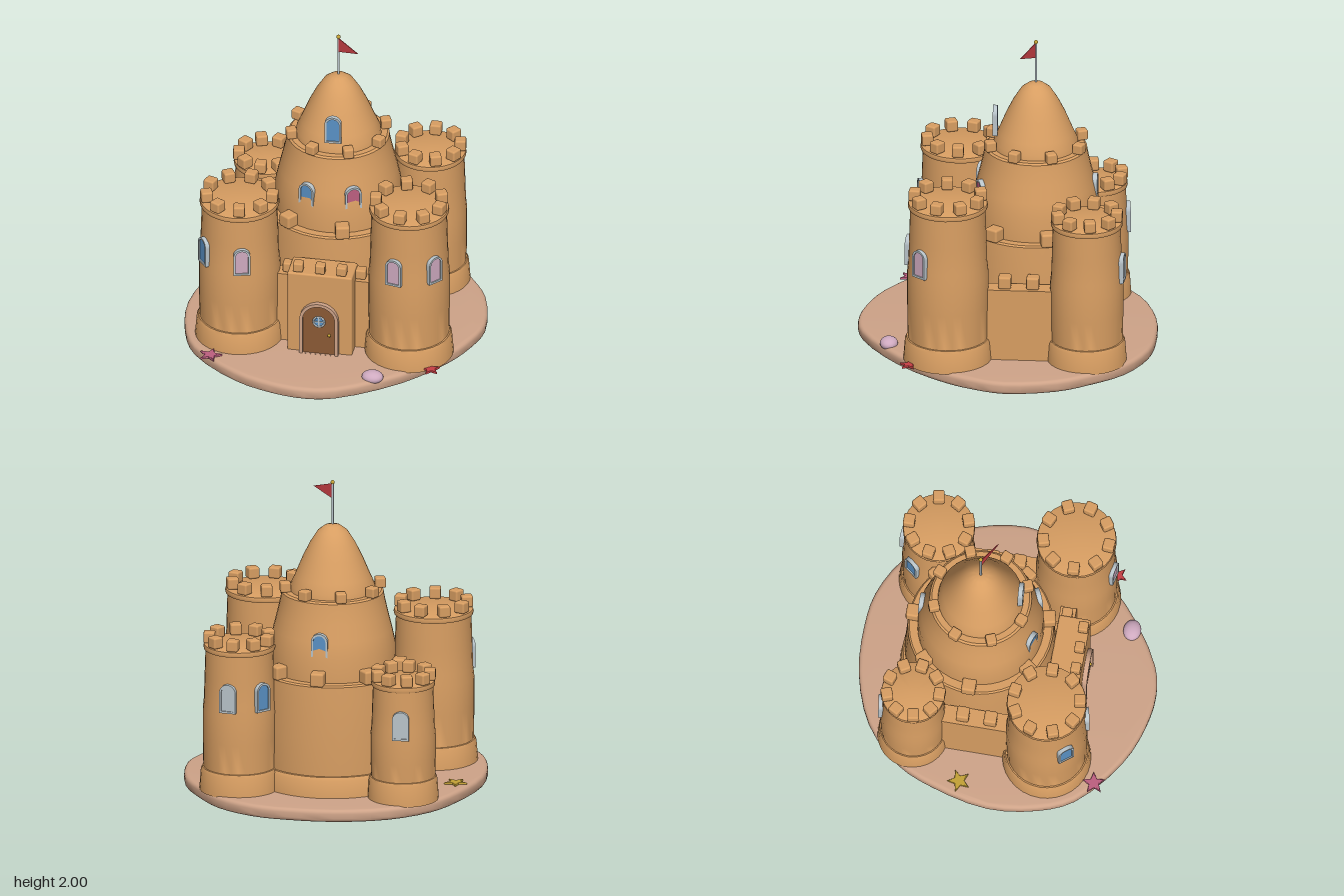
import * as THREE from 'three';
import { toCreasedNormals } from 'three/addons/utils/BufferGeometryUtils.js';
import { RoundedBoxGeometry } from 'three/addons/geometries/RoundedBoxGeometry.js';

const RAD = Math.PI / 180;
const mat = (name, color) => Object.assign(new THREE.MeshStandardMaterial({ color }), { name });

export function createModel() {
  const sand = mat('sand', 0xd89e62);
  const ground = mat('pinkSand', 0xcea388);
  const wood = mat('wood', 0x8b5a35);
  const frameGrey = mat('paleGrey', 0xb9c4ca);
  const blue = mat('blue', 0x5a92c6);
  const mauve = mat('mauve', 0xcfaac0);
  const rose = mat('rose', 0xbd5f80);
  const gold = mat('gold', 0xc4a236);
  const red = mat('red', 0xc73f44);
  red.side = THREE.DoubleSide;

  const model = new THREE.Group();
  model.name = 'sandcastle';

  const add = (parent, name, geometry, material, x = 0, y = 0, z = 0) => {
    const mesh = new THREE.Mesh(geometry, material);
    mesh.name = name;
    mesh.position.set(x, y, z);
    parent.add(mesh);
    return mesh;
  };
  const group = (name, x, y, z, parent = model) => {
    const g = new THREE.Group();
    g.name = name;
    g.position.set(x, y, z);
    parent.add(g);
    return g;
  };
  const lathe = (profile, segments = 32) => toCreasedNormals(
    new THREE.LatheGeometry(profile.map(([r, y]) => new THREE.Vector2(r, y)), segments), 0.6);

  // Battlement blocks, alone or in a ring of angles measured from the front
  const blockGeo = new RoundedBoxGeometry(1, 1, 1, 2, 0.16);
  const block = (parent, x, y, z, size, turn = 0) => {
    const m = add(parent, 'battlement', blockGeo, sand, x, y, z);
    m.scale.setScalar(size);
    m.rotation.y = turn;
  };
  const ring = (parent, angles, r, y, size) => angles.forEach((a) =>
    block(parent, r * Math.sin(a * RAD), y, r * Math.cos(a * RAD), size, a * RAD));
  const evenly = (n, start) => Array.from({ length: n }, (_, i) => start + (i * 360) / n);

  // Round-headed plates for windows and the door, standing on y = 0
  const archPath = (Kind, w, h, y0 = 0) => {
    const p = new Kind();
    p.moveTo(-w / 2, y0);
    p.lineTo(w / 2, y0);
    p.lineTo(w / 2, h - w / 2);
    p.absarc(0, h - w / 2, w / 2, 0, Math.PI, false);
    p.lineTo(-w / 2, y0);
    return p;
  };
  const extrude = (shape, depth) =>
    new THREE.ExtrudeGeometry(shape, { depth, bevelEnabled: false, curveSegments: 16 });
  const frameShape = archPath(THREE.Shape, 0.105, 0.185);
  frameShape.holes.push(archPath(THREE.Path, 0.079, 0.172, 0.013));
  const frameGeo = extrude(frameShape, 0.03);
  const paneGeo = extrude(archPath(THREE.Shape, 0.082, 0.173), 0.022);
  const windowAt = (parent, angle, r, y, pane) => {
    const a = angle * RAD;
    const g = group('window', r * Math.sin(a), y, r * Math.cos(a), parent);
    g.rotation.y = a;
    add(g, 'windowFrame', frameGeo, frameGrey, 0, 0, -0.012);
    add(g, 'windowPane', paneGeo, pane, 0, 0.006, -0.012);
  };

  // Irregular sand base with a rounded rim
  const outline = [[0.93, -0.05], [0.87, -0.38], [0.75, -0.58], [0.58, -0.78], [0.33, -0.91], [0.1, -0.94],
    [-0.2, -0.92], [-0.52, -0.8], [-0.75, -0.58], [-0.86, -0.34], [-0.94, 0.02], [-0.9, 0.33], [-0.8, 0.55],
    [-0.5, 0.8], [-0.25, 0.9], [-0.03, 0.93], [0.16, 0.89], [0.53, 0.64], [0.78, 0.34], [0.88, 0.14]];
  const curve = new THREE.CatmullRomCurve3(outline.map(([x, z]) => new THREE.Vector3(x, -z, 0)), true);
  const baseShape = new THREE.Shape(curve.getPoints(60).slice(0, -1).map((p) => new THREE.Vector2(p.x, p.y)));
  const baseGeo = new THREE.ExtrudeGeometry(baseShape, {
    depth: 0.03, bevelThickness: 0.025, bevelSize: 0.025, bevelOffset: -0.025, bevelSegments: 4 });
  add(model, 'sandBase', toCreasedNormals(baseGeo.rotateX(-Math.PI / 2), 0.6), ground, 0, 0.025, 0);

  // Corner towers: footing, slightly bulging shaft, rim and battlements
  const tower = (name, x, z, s, h, start, windowY, windows) => {
    const g = group(name, x, 0, z);
    const bulge = 0.58 * h;
    add(g, 'towerBody', lathe([[0.278 * s, 0.07], [0.267 * s, 0.2], [0.258 * s, 0.218], [0.25 * s, 0.22],
      [0.254 * s, 0.4 * h], [0.254 * s, bulge], [0.246 * s, bulge + 0.07], [0.241 * s, 0.8 * h],
      [0.235 * s, h - 0.035], [0, h - 0.035]]), sand);
    add(g, 'towerRim', lathe([[0.225 * s, h - 0.04], [0.246 * s, h - 0.035], [0.25 * s, h - 0.022],
      [0.246 * s, h - 0.004], [0.235 * s, h], [0, h]]), sand);
    ring(g, evenly(9, start), 0.208 * s, h + 0.036, 0.072);
    windows.forEach(([angle, pane]) => windowAt(g, angle, 0.247 * s, windowY, pane));
  };
  tower('frontRightTower', -0.555, 0.33, 1, 1.06, 10, 0.65, [[-52, blue], [14, mauve]]);
  tower('frontLeftTower', 0.52, 0.33, 1, 1.125, -5, 0.685, [[-12, mauve], [50, mauve]]);
  tower('backLeftTower', 0.49, -0.535, 0.9, 1.015, 20, 0.62, [[174, frameGrey], [-128, blue]]);
  tower('backRightTower', -0.55, -0.515, 0.8, 0.84, 0, 0.5, [[-172, frameGrey]]);

  // Central keep: skirt, two drums and a domed cone
  const keep = group('keep', -0.025, 0, -0.18);
  add(keep, 'lowerKeep', lathe([[0.505, 0.07], [0.495, 0.19], [0.482, 0.21], [0.47, 0.212], [0.472, 0.45],
    [0.46, 0.7], [0.455, 0.785], [0.445, 0.795], [0, 0.795]], 40), sand);
  add(keep, 'upperKeep', lathe([[0.395, 0.79], [0.392, 0.95], [0.37, 1.05], [0.345, 1.15], [0.325, 1.24],
    [0.318, 1.285], [0.305, 1.295], [0, 1.295]], 40), sand);
  add(keep, 'domeRoof', lathe([[0.268, 1.29], [0.262, 1.33], [0.235, 1.39], [0.185, 1.51], [0.14, 1.6],
    [0.092, 1.675], [0.05, 1.707], [0, 1.72]], 40), sand);
  ring(keep, [14, 57, 104, 140, 180, -136, -90, -36], 0.425, 0.832, 0.088);
  ring(keep, evenly(8, 22.5), 0.3, 1.325, 0.066);
  windowAt(keep, -21, 0.368, 0.925, blue);
  windowAt(keep, 25, 0.368, 0.925, rose);
  windowAt(keep, 180, 0.368, 0.925, blue);
  windowAt(keep, 3, 0.25, 1.37, blue);

  // Flag on its pole
  add(keep, 'flagPole', new THREE.CylinderGeometry(0.007, 0.007, 0.29, 12), frameGrey, 0, 1.845, 0);
  add(keep, 'poleBall', new THREE.SphereGeometry(0.013, 16, 10), gold, 0, 1.987, 0);
  const flagShape = new THREE.Shape([[0, -0.05], [0.165, 0], [0, 0.05]].map((p) => new THREE.Vector2(...p)));
  add(keep, 'flag', extrude(flagShape, 0.005), red, 0, 1.93, 0).rotation.y = -31 * RAD;

  // Connecting walls with battlements
  const wall = (name, x, z, w, d, h) =>
    add(model, name, new THREE.BoxGeometry(w, h - 0.07, d), sand, x, (h + 0.07) / 2, z);
  for (const x of [-0.55, 0.505]) {
    wall('sideWall', x, -0.11, 0.115, 0.56, 0.55);
    for (const z of [-0.2, -0.025]) block(model, x, 0.588, z, 0.08);
  }
  wall('frontWall', -0.03, 0.325, 0.62, 0.1, 0.56);
  for (const x of [-0.245, 0.215]) block(model, x, 0.595, 0.325, 0.066);

  // Gatehouse with door
  const gate = group('gatehouse', -0.02, 0, 0.48);
  add(gate, 'gateBlock', new RoundedBoxGeometry(0.41, 0.57, 0.2, 2, 0.012), sand, 0, 0.355, -0.1);
  for (const x of [-0.14, 0, 0.135]) block(gate, x, 0.675, -0.035, 0.062);
  const doorFrame = archPath(THREE.Shape, 0.245, 0.365);
  doorFrame.holes.push(archPath(THREE.Path, 0.205, 0.345, 0.001));
  add(gate, 'doorFrame', extrude(doorFrame, 0.035), ground, 0, 0.08, -0.005);
  add(gate, 'door', extrude(archPath(THREE.Shape, 0.208, 0.346), 0.02), wood, 0, 0.08, -0.005);
  add(gate, 'doorKnob', new THREE.SphereGeometry(0.01, 12, 8), gold, 0.065, 0.22, 0.02);
  add(gate, 'portholePane', new THREE.CircleGeometry(0.034, 24), blue, 0, 0.312, 0.018);
  add(gate, 'portholeRing', new THREE.TorusGeometry(0.035, 0.006, 8, 24), frameGrey, 0, 0.312, 0.018);
  add(gate, 'portholeBar', new THREE.BoxGeometry(0.066, 0.008, 0.008), frameGrey, 0, 0.312, 0.018);
  add(gate, 'portholeBar', new THREE.BoxGeometry(0.008, 0.066, 0.008), frameGrey, 0, 0.312, 0.018);

  // Starfish: five-pointed, raised towards the middle
  const starShape = new THREE.Shape(Array.from({ length: 10 }, (_, i) => {
    const r = i % 2 ? 0.45 : 1;
    return new THREE.Vector2(r * Math.sin(i * 36 * RAD), r * Math.cos(i * 36 * RAD));
  }));
  const starGeo = new THREE.ExtrudeGeometry(starShape, {
    depth: 0.08, bevelThickness: 0.07, bevelSize: 0.08, bevelOffset: -0.08, bevelSegments: 2 })
    .rotateX(-Math.PI / 2);
  for (const [x, z, r, turn, m] of [[-0.81, -0.18, 0.074, 10, gold], [-0.68, 0.65, 0.074, -8, rose],
    [0.7, 0.56, 0.062, 15, red]]) {
    const star = add(model, 'starfish', starGeo, m, x, 0.083, z);
    star.scale.set(r, 0.075, r);
    star.rotation.y = turn * RAD;
  }

  // Seashell mound
  add(model, 'seashell', new THREE.SphereGeometry(1, 24, 16), mauve, 0.36, 0.085, 0.71)
    .scale.set(0.068, 0.04, 0.056);

  return model;
}
